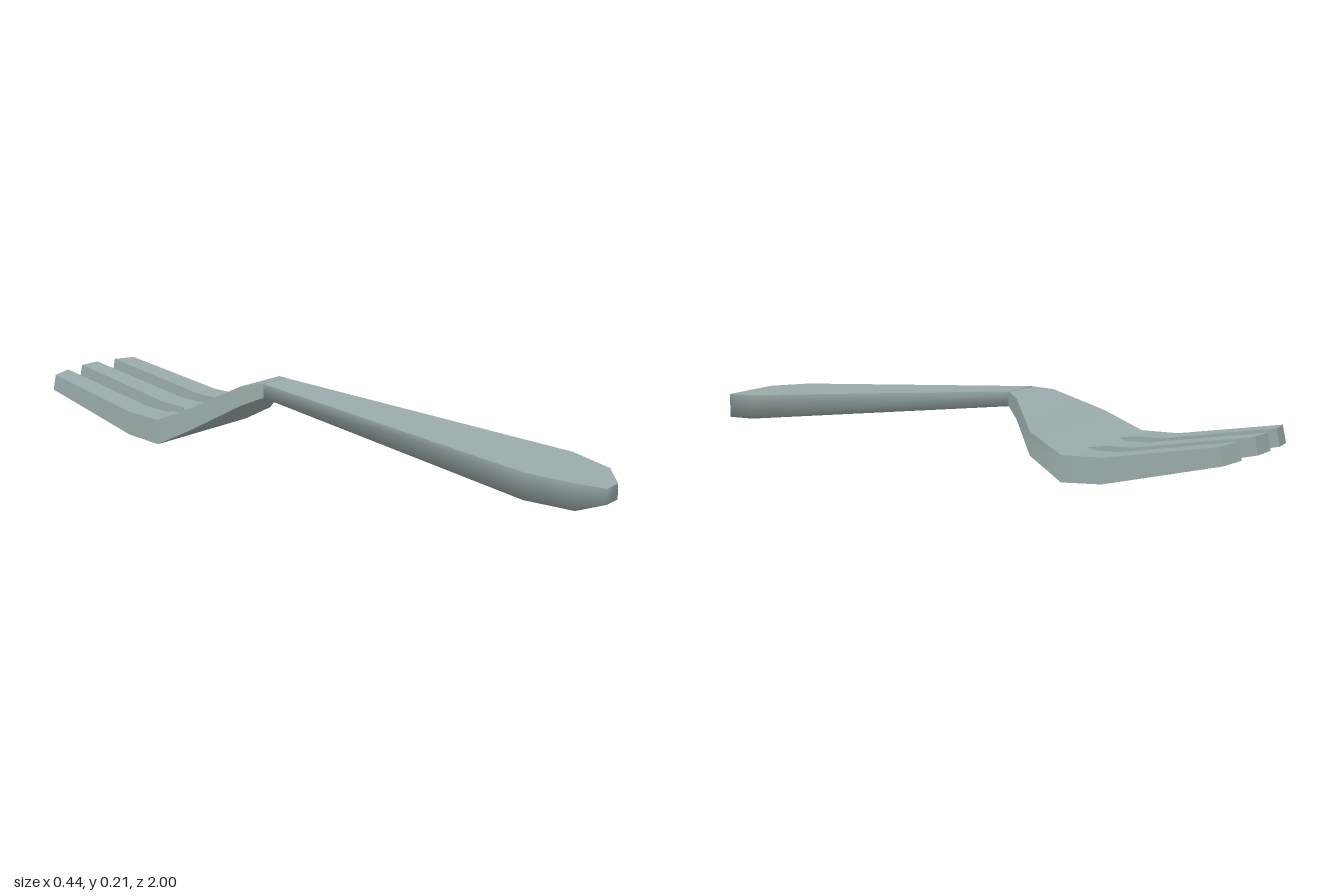
import * as THREE from 'three';
import { mergeGeometries, mergeVertices, toCreasedNormals } from 'three/addons/utils/BufferGeometryUtils.js';

// Side profile of the head: [z, top y, bottom y]
const PROFILE = [
  [-0.18, 0.21, 0.165], [-0.24, 0.2, 0.138], [-0.36, 0.132, 0.062],
  [-0.48, 0.082, 0.003], [-0.61, 0.09, 0.014], [-1, 0.167, 0.117],
];

function heightAt(z, k) {
  for (let i = 1; i < PROFILE.length; i++) {
    const a = PROFILE[i - 1], b = PROFILE[i];
    if (z >= b[0] || i === PROFILE.length - 1) {
      return THREE.MathUtils.mapLinear(z, a[0], b[0], a[k], b[k]);
    }
  }
}

// Corners of a head section: left and right x, left and right z
function headSection(xl, xr, zl, zr = zl, lean = 0) {
  return {
    lt: [xl, heightAt(zl, 1), zl + lean], rt: [xr, heightAt(zr, 1), zr + lean],
    lb: [xl, heightAt(zl, 2), zl], rb: [xr, heightAt(zr, 2), zr],
  };
}

// Skin a row of four-cornered sections running front to back.
// faces: t top, b bottom, l left x, r right x, f front cap, k back cap
function skin(rows, faces) {
  const pos = [];
  const quad = (a, b, c, d) => pos.push(...a, ...b, ...c, ...a, ...c, ...d);
  for (let i = 0; i < rows.length - 1; i++) {
    const p = rows[i], q = rows[i + 1];
    if (faces.includes('t')) quad(p.lt, p.rt, q.rt, q.lt);
    if (faces.includes('b')) quad(q.lb, q.rb, p.rb, p.lb);
    if (faces.includes('r')) quad(p.rb, q.rb, q.rt, p.rt);
    if (faces.includes('l')) quad(q.lb, p.lb, p.lt, q.lt);
  }
  const s = rows[0], e = rows[rows.length - 1];
  if (faces.includes('f')) quad(s.lb, s.rb, s.rt, s.lt);
  if (faces.includes('k')) quad(e.rb, e.lb, e.lt, e.rt);
  const g = new THREE.BufferGeometry();
  g.setAttribute('position', new THREE.Float32BufferAttribute(pos, 3));
  return g;
}

function smooth(geometry) {
  const g = mergeVertices(geometry);
  g.computeVertexNormals();
  return g;
}

function handleGeometry() {
  // [z, half width, top y, bottom y]
  const rows = [
    [1, 0.033, 0.066, 0.02], [0.94, 0.1, 0.086, 0.008],
    [0.8, 0.14, 0.103, 0.024], [-0.19, 0.055, 0.21, 0.165],
  ].map(([z, w, t, b]) => ({
    lt: [-w, t, z], rt: [w, t, z], lb: [-w, b, z], rb: [w, b, z],
  }));
  // Crisp top face over a softly rounded underside
  return mergeGeometries([smooth(skin(rows, 't')), smooth(skin(rows, 'blrfk'))]);
}

function headGeometry() {
  const parts = [];
  // Palm: three strips that line up with the tines
  const palm = [[-0.18, 0.055], [-0.24, 0.098], [-0.36, 0.202], [-0.48, 0.22]];
  const cuts = [-1, -0.386, 0.386, 1];
  for (let i = 0; i < 3; i++) {
    const rows = palm.map(([z, w]) => headSection(cuts[i] * w, cuts[i + 1] * w, z));
    parts.push(skin(rows, ['tblf', 'tbf', 'tbrf'][i]));
  }
  // Middle tine
  parts.push(skin([
    headSection(-0.085, 0.085, -0.48), headSection(-0.045, 0.045, -0.525),
    headSection(-0.044, 0.044, -0.61), headSection(-0.037, 0.037, -1, -1, 0.012),
  ], 'tblrk'));
  // Outer tines with slanted tips
  const outer = [
    [0.085, 0.22, -0.48], [0.122, 0.217, -0.525],
    [0.121, 0.212, -0.61], [0.113, 0.189, -0.99, -0.972, 0.012],
  ];
  parts.push(skin(outer.map((r) => headSection(...r)), 'tblrk'));
  parts.push(skin(outer.map(([a, b, za, zb = za, lean]) => headSection(-b, -a, zb, za, lean)), 'tblrk'));
  return toCreasedNormals(mergeGeometries(parts), 0.7);
}

export function createModel() {
  const metal = new THREE.MeshStandardMaterial({ color: 0x9aabab });
  metal.name = 'greyMetal';

  const handle = new THREE.Mesh(handleGeometry(), metal);
  handle.name = 'handle';
  const head = new THREE.Mesh(headGeometry(), metal);
  head.name = 'tinedHead';

  const fork = new THREE.Group();
  fork.name = 'fork';
  fork.add(handle, head);
  return fork;
}
